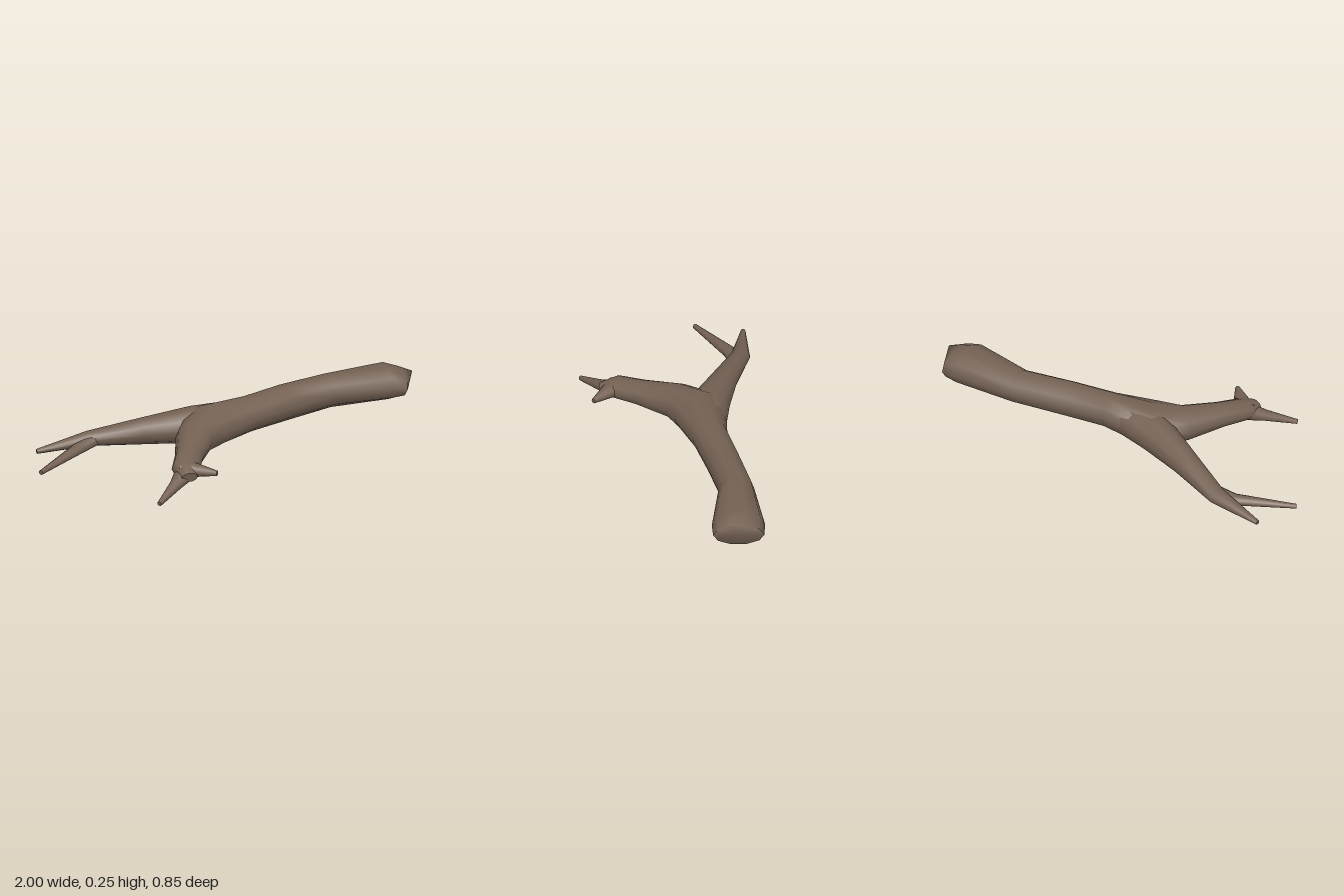
import * as THREE from 'three';

const SIDES = 10;

// Lofts oval rings along a path; each point is [x, y, z, halfWidth, halfHeight].
// startTip optionally pushes the first cap out to a blunt point.
function limbGeometry(path, startTip) {
  const pos = [], index = [];
  const centers = path.map(p => new THREE.Vector3(p[0], p[1], p[2]));
  const up = new THREE.Vector3(0, 1, 0);
  const rings = path.map((p, i) => {
    const t = centers[Math.min(i + 1, path.length - 1)].clone()
      .sub(centers[Math.max(i - 1, 0)]).normalize();
    const side = t.clone().cross(up).normalize();
    const rise = side.clone().cross(t);
    return Array.from({ length: SIDES }, (_, j) => {
      const a = (j / SIDES) * Math.PI * 2;
      return centers[i].clone()
        .addScaledVector(side, Math.cos(a) * p[3])
        .addScaledVector(rise, Math.sin(a) * p[4]);
    });
  });
  const add = v => pos.push(v.x, v.y, v.z) / 3 - 1;

  // Bark surface
  rings.forEach(r => r.forEach(add));
  for (let i = 0; i < path.length - 1; i++) {
    for (let j = 0; j < SIDES; j++) {
      const k = (j + 1) % SIDES;
      const a = i * SIDES + j, b = i * SIDES + k;
      index.push(a, a + SIDES, b, b, a + SIDES, b + SIDES);
    }
  }
  // Caps with their own vertices, so the cut edges stay sharp
  const cap = (ring, center, flip) => {
    const c = add(center), ids = ring.map(add);
    for (let j = 0; j < SIDES; j++) {
      const k = (j + 1) % SIDES;
      index.push(c, ids[flip ? k : j], ids[flip ? j : k]);
    }
  };
  cap(rings[0], startTip || centers[0], false);
  cap(rings[rings.length - 1], centers[centers.length - 1], true);

  const g = new THREE.BufferGeometry();
  g.setAttribute('position', new THREE.Float32BufferAttribute(pos, 3));
  g.setIndex(index);
  g.computeVertexNormals();
  return g;
}

export function createModel() {
  const group = new THREE.Group();
  group.name = 'fallenBranch';
  const bark = new THREE.MeshStandardMaterial({ color: 0x746153 });
  bark.name = 'bark';

  const addLimb = (name, path, startTip) => {
    const mesh = new THREE.Mesh(limbGeometry(path, startTip), bark);
    mesh.name = name;
    group.add(mesh);
  };

  // Thick trunk with a broken end, bending into the front fork
  addLimb('trunkAndFrontFork', [
    [0.94, 0.165, -0.145, 0.125, 0.065],
    [0.87, 0.175, -0.153, 0.13, 0.086],
    [0.57, 0.168, -0.183, 0.088, 0.083],
    [0.31, 0.165, -0.148, 0.087, 0.09],
    [0.1, 0.156, -0.117, 0.09, 0.088],
    [-0.13, 0.142, -0.1, 0.142, 0.098],
    [-0.25, 0.128, 0.0, 0.095, 0.086],
    [-0.36, 0.115, 0.16, 0.07, 0.06],
    [-0.435, 0.105, 0.27, 0.068, 0.048],
    [-0.45, 0.09, 0.345, 0.04, 0.025],
  ], new THREE.Vector3(1, 0.215, -0.12));

  // Back fork, tapering into its outer twig
  addLimb('backFork', [
    [0.08, 0.155, -0.125, 0.07, 0.075],
    [-0.18, 0.138, -0.155, 0.1, 0.09],
    [-0.4, 0.108, -0.255, 0.067, 0.066],
    [-0.645, 0.07, -0.372, 0.048, 0.036],
    [-0.9, 0.031, -0.42, 0.012, 0.012],
  ]);

  // Small twigs
  addLimb('backTwig', [
    [-0.58, 0.08, -0.345, 0.03, 0.03],
    [-0.72, 0.046, -0.328, 0.034, 0.027],
    [-0.99, 0.018, -0.195, 0.012, 0.012],
  ]);
  addLimb('frontTwig', [
    [-0.43, 0.095, 0.27, 0.06, 0.042],
    [-0.52, 0.058, 0.33, 0.032, 0.026],
    [-0.65, 0.013, 0.413, 0.012, 0.012],
  ]);
  addLimb('frontStub', [
    [-0.44, 0.104, 0.26, 0.06, 0.044],
    [-0.385, 0.108, 0.325, 0.036, 0.03],
    [-0.325, 0.108, 0.395, 0.012, 0.013],
  ]);

  return group;
}
